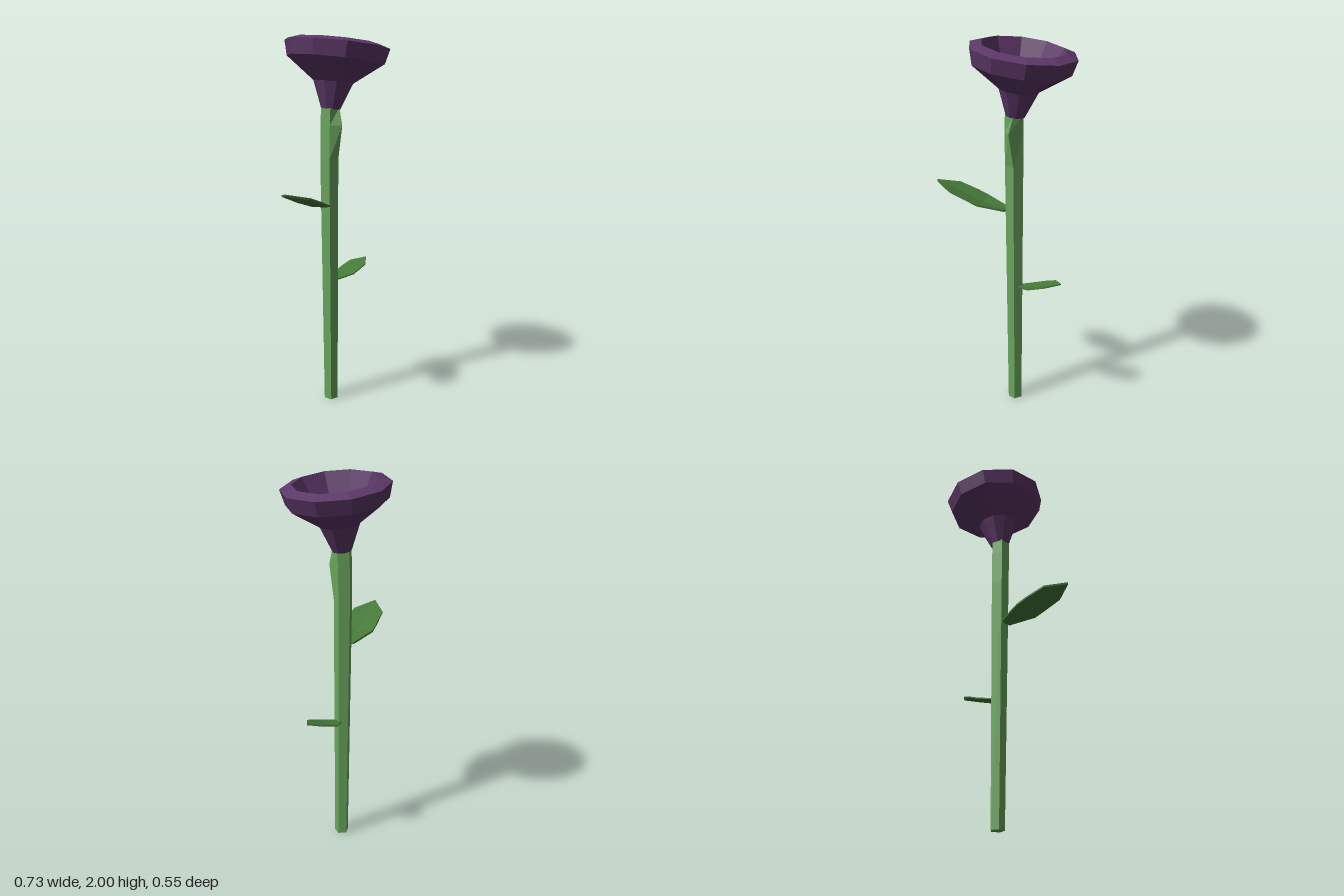
import * as THREE from 'three';

const petalPurple = new THREE.MeshStandardMaterial({ color: 0x5c3767 });
const stemGreen = new THREE.MeshStandardMaterial({ color: 0x69a65d });
const leafGreen = new THREE.MeshStandardMaterial({ color: 0x477a39 });
const centreYellow = new THREE.MeshStandardMaterial({ color: 0xdebb72 });

// Split the faces so each one gets its own flat normal
function faceted(geometry) {
  const flat = geometry.index ? geometry.toNonIndexed() : geometry;
  flat.computeVertexNormals();
  return flat;
}

// Closed skin over a row of equal-sized rings of [x, y, z] points
function loft(rings) {
  const n = rings[0].length;
  const last = rings.length - 1;
  const index = [];
  for (let i = 0; i < last; i++) {
    for (let j = 0; j < n; j++) {
      const a = i * n + j, b = i * n + (j + 1) % n;
      index.push(a, a + n, b, b, a + n, b + n);
    }
  }
  for (let j = 1; j < n - 1; j++) {
    index.push(0, j, j + 1);
    index.push(last * n, last * n + j + 1, last * n + j);
  }
  const geometry = new THREE.BufferGeometry();
  geometry.setAttribute('position', new THREE.Float32BufferAttribute(rings.flat(2), 3));
  geometry.setIndex(index);
  return faceted(geometry);
}

function addMesh(parent, name, geometry, material) {
  const mesh = new THREE.Mesh(geometry, material);
  mesh.name = name;
  parent.add(mesh);
  return mesh;
}

// Five-sided stem, widening upward, with a knuckle below the flower
function stemGeometry() {
  const levels = [ // y, centre x, centre z, radius
    [0, 0.07, 0, 0.038],
    [1.36, 0.055, -0.004, 0.05],
    [1.54, 0.055, -0.002, 0.051],
    [1.63, 0.057, 0, 0.05],
  ];
  const rings = levels.map(([y, cx, cz, r]) => {
    const ring = [];
    for (let j = 0; j < 5; j++) {
      const a = THREE.MathUtils.degToRad(63 + 72 * j);
      ring.push([cx + r * Math.cos(a), y, cz + r * Math.sin(a)]);
    }
    return ring;
  });
  rings[2][0] = [0.07, 1.54, 0.075];
  return loft(rings);
}

// Thin leaf along +x, folded down along its midrib
function leafGeometry() {
  const stations = [ // distance, height, half width, fold depth
    [0, 0.005, 0.035, 0.006],
    [0.13, 0.038, 0.09, 0.012],
    [0.19, 0.062, 0.091, 0.012],
    [0.29, 0.098, 0.084, 0.01],
    [0.39, 0.125, 0.002, 0],
  ];
  const t = 0.01;
  return loft(stations.map(([x, y, w, d]) => [
    [x, y, w], [x, y - d, 0], [x, y, -w],
    [x, y - t, -w], [x, y - d - t, 0], [x, y - t, w],
  ]));
}

// Ten-sided surface of revolution
function lathe(profile) {
  return new THREE.LatheGeometry(profile.map(([r, y]) => new THREE.Vector2(r, y)), 10);
}

export function createModel() {
  const model = new THREE.Group();
  model.name = 'flower';

  addMesh(model, 'stem', stemGeometry(), stemGreen);

  const leaf = leafGeometry();
  const upperLeaf = addMesh(model, 'upperLeaf', leaf, leafGreen);
  upperLeaf.position.set(0.01, 1.115, 0.005);
  upperLeaf.rotation.y = Math.PI + 0.26;
  const lowerLeaf = addMesh(model, 'lowerLeaf', leaf, leafGreen);
  lowerLeaf.position.set(0.097, 0.692, 0);
  lowerLeaf.scale.set(0.65, 0.6, 0.68);

  // Flower head leans toward +x
  const head = new THREE.Group();
  head.name = 'flowerHead';
  head.position.set(0.06, 1.62, 0);
  head.rotation.z = -0.14;
  model.add(head);

  // Bell outside, thick rim, then down the inside
  const bell = lathe([
    [0, 0], [0.05, 0], [0.105, 0.14], [0.257, 0.253],
    [0.277, 0.332], [0.216, 0.352], [0.147, 0.22],
  ]);
  addMesh(head, 'petalBell', faceted(bell), petalPurple);

  // Lumpy domed centre
  const dome = lathe([[0.149, 0.222], [0.075, 0.255], [0, 0.27]]);
  const p = dome.attributes.position;
  for (let i = 0; i < p.count; i++) {
    const x = p.getX(i), z = p.getZ(i), r = Math.hypot(x, z);
    if (r < 0.1) p.setY(i, p.getY(i) + 0.012 * Math.sin(55 * x + 1) * Math.cos(40 * z));
  }
  addMesh(head, 'flowerCentre', faceted(dome), centreYellow);

  return model;
}
